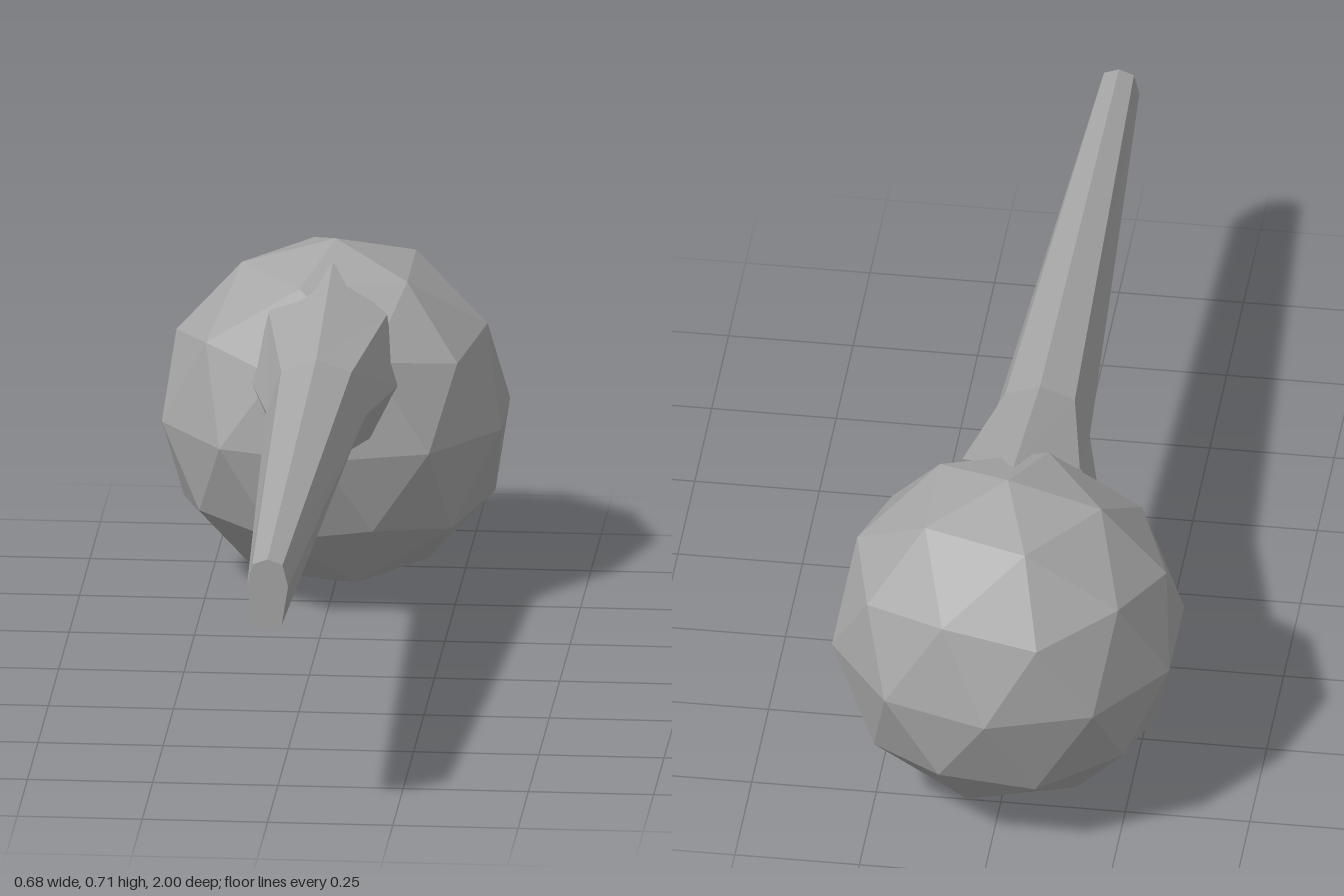
import * as THREE from 'three';

// One ring of the handle from its +x half: [x, y, z] from top to bottom, mirrored to -x
function ring(half) {
  const left = half.slice(1, -1).map(([x, y, z]) => [-x, y, z]);
  return [half[0], ...left, half[half.length - 1], ...half.slice(1, -1).reverse()];
}

export function createModel() {
  const group = new THREE.Group();
  const grey = new THREE.MeshStandardMaterial({ color: 0xa6a6a6, flatShading: true });
  grey.name = 'grey';

  // Faceted ball with one corner pointing straight up
  const ballGeometry = new THREE.IcosahedronGeometry(0.356, 1);
  ballGeometry.rotateZ(Math.atan2(2, 1 + Math.sqrt(5)));
  const ball = new THREE.Mesh(ballGeometry, grey);
  ball.name = 'ball';
  ball.position.set(0, 0.357, -0.643);
  group.add(ball);

  // Tapered eight-sided handle: tip, neck, and a flared root meeting the ball
  const rings = [
    [[0, 0.548, 1], [0.03, 0.537, 1], [0.041, 0.492, 1], [0.028, 0.411, 1], [0, 0.399, 1]],
    [[0, 0.606, -0.17], [0.07, 0.58, -0.17], [0.1, 0.493, -0.17], [0.07, 0.42, -0.17], [0, 0.397, -0.17]],
    [[0, 0.687, -0.56], [0.118, 0.616, -0.45], [0.146, 0.493, -0.37], [0.095, 0.396, -0.33], [0, 0.365, -0.32]],
  ].map(ring);
  const n = rings[0].length;
  const index = [];
  for (let r = 0; r < rings.length - 1; r++) {
    for (let i = 0; i < n; i++) {
      const j = (i + 1) % n;
      const a = r * n + i, b = r * n + j;
      index.push(b, a, a + n, b, a + n, b + n);
    }
  }
  // Flat cap on the tip
  for (let i = 1; i < n - 1; i++) index.push(0, i, i + 1);

  const handleGeometry = new THREE.BufferGeometry();
  handleGeometry.setAttribute('position', new THREE.Float32BufferAttribute(rings.flat(2), 3));
  handleGeometry.setIndex(index);
  handleGeometry.computeVertexNormals();
  const handle = new THREE.Mesh(handleGeometry, grey);
  handle.name = 'handle';
  group.add(handle);

  return group;
}
